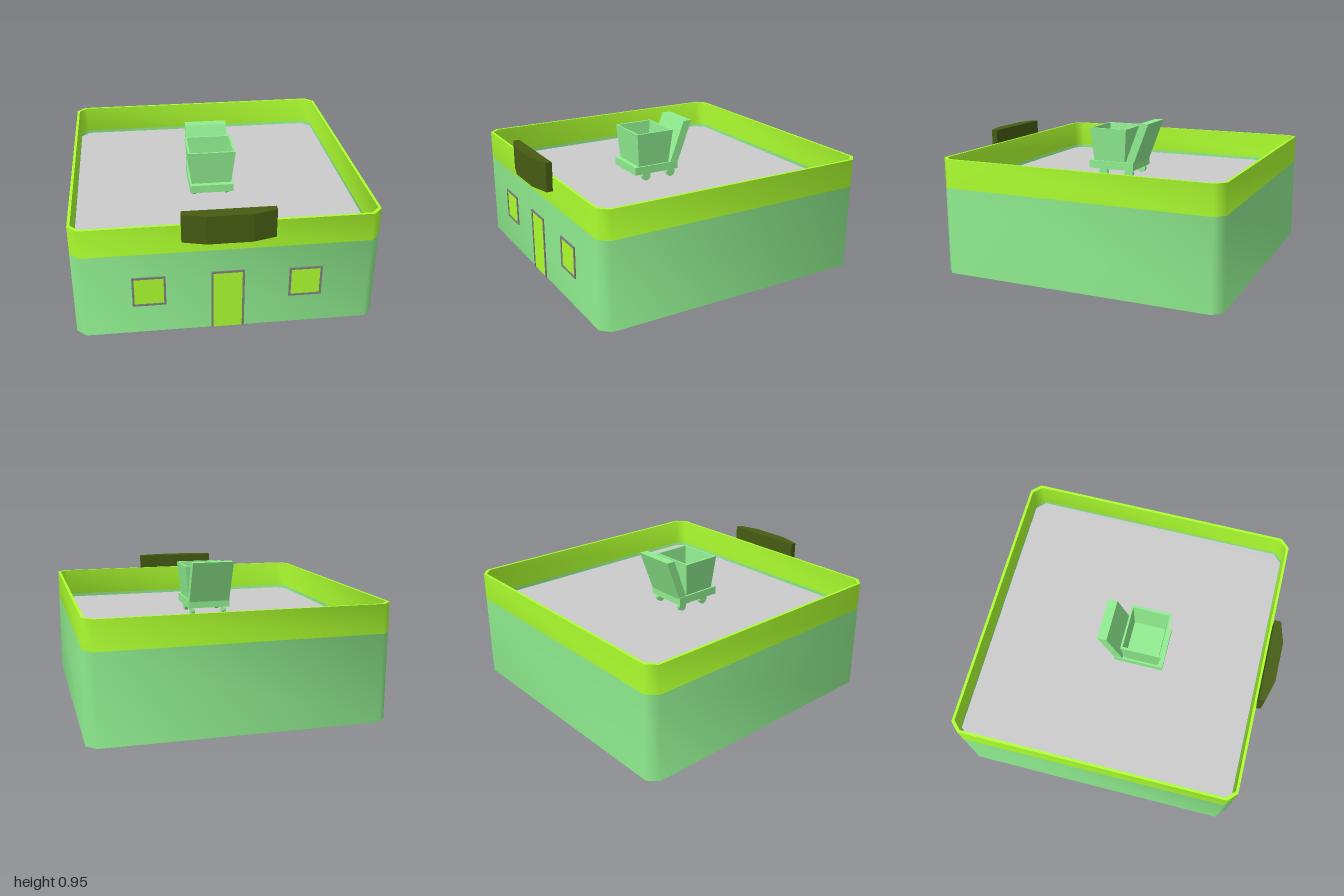
import * as THREE from 'three';
import { toCreasedNormals } from 'three/addons/utils/BufferGeometryUtils.js';

const GREEN = 0x90ee90, LIME = 0xadff2f, OLIVE = 0x465c12, FRAME = 0x808080, ROOF = 0xc0c0c0;

function add(parent, name, geometry, color, flatShading = false) {
  const material = new THREE.MeshStandardMaterial({ color, flatShading });
  const mesh = new THREE.Mesh(geometry, material);
  mesh.name = name;
  parent.add(mesh);
  return mesh;
}

// Box given by its x, y and z ranges
function box(parent, name, color, [x0, x1], [y0, y1], [z0, z1]) {
  const mesh = add(parent, name, new THREE.BoxGeometry(x1 - x0, y1 - y0, z1 - z0), color);
  mesh.position.set((x0 + x1) / 2, (y0 + y1) / 2, (z0 + z1) / 2);
  return mesh;
}

const toPoints = (list) => list.map(([x, y]) => new THREE.Vector2(x, y));

// Square with cut corners, of half-width h
function cutSquare(h, c) {
  const k = h - c;
  return toPoints([[k, -h], [h, -k], [h, k], [k, h], [-k, h], [-h, k], [-h, -k], [-k, -h]]);
}

// Plan outline (x, -z) raised from y0 to y1
function raise(shape, y0, y1) {
  const g = new THREE.ExtrudeGeometry(shape, { depth: y1 - y0, bevelEnabled: false });
  g.rotateX(-Math.PI / 2);
  g.translate(0, y0, 0);
  return g;
}

function wallRing(y0, y1) {
  const shape = new THREE.Shape(cutSquare(0.96, 0.06));
  shape.holes.push(new THREE.Path(cutSquare(0.942, 0.055)));
  return toCreasedNormals(raise(shape, y0, y1), Math.PI / 3);
}

// Frame around an opening in the front wall, with its pane
function opening(parent, name, cx, w, y0, y1, hasSill) {
  const group = new THREE.Group();
  group.name = name;
  const t = 0.013, h = w / 2, z = [0.915, 0.928];
  for (const s of [-1, 1]) {
    const a = cx + s * h, b = cx + s * (h - t);
    box(group, 'frameSide', FRAME, [Math.min(a, b), Math.max(a, b)], [y0, y1], z);
  }
  box(group, 'frameTop', FRAME, [cx - h + t, cx + h - t], [y1 - t, y1], z);
  if (hasSill) box(group, 'frameSill', FRAME, [cx - h + t, cx + h - t], [y0, y0 + t], z);
  box(group, 'pane', LIME, [cx - h + t, cx + h - t], [y0 + (hasSill ? t : 0), y1 - t], [0.897, 0.923]);
  parent.add(group);
}

function buildCart() {
  const cart = new THREE.Group();
  cart.name = 'cart';
  const cx = -0.02;

  box(cart, 'cartBase', GREEN, [cx - 0.148, cx + 0.148], [0.615, 0.67], [-0.09, 0.25]);

  // Flared open basket, a four-sided lathe
  const profile = toPoints([[0, 0.67], [0.136, 0.67], [0.161, 0.905], [0.146, 0.905], [0.128, 0.69], [0, 0.69]]
    .map(([r, y]) => [r * Math.SQRT2, y]));
  const basket = add(cart, 'basket', new THREE.LatheGeometry(profile, 4, Math.PI / 4), GREEN, true);
  basket.scale.z = 0.86;
  basket.position.set(cx, 0, 0.098);

  // Back panel leaning to the rear
  const side = new THREE.Shape(toPoints([[-0.09, 0.66], [-0.028, 0.66], [-0.137, 0.95], [-0.2, 0.95]]));
  const panel = new THREE.ExtrudeGeometry(side, { depth: 0.29, bevelEnabled: false });
  panel.rotateY(-Math.PI / 2);
  panel.translate(cx + 0.145, 0, 0);
  add(cart, 'backPanel', panel, GREEN, true);

  // Wheels
  for (const sx of [-1, 1]) {
    for (const z of [-0.045, 0.15]) {
      const g = new THREE.CylinderGeometry(0.032, 0.032, 0.025, 16);
      g.rotateZ(Math.PI / 2);
      add(cart, 'wheel', g, GREEN).position.set(cx + sx * 0.115, 0.59, z);
    }
  }
  return cart;
}

export function createModel() {
  const model = new THREE.Group();
  model.name = 'shop';

  // Walls, parapet band and roof block
  const shell = new THREE.Group();
  shell.name = 'building';
  shell.position.z = -0.04;
  add(shell, 'walls', wallRing(0, 0.58), GREEN);
  add(shell, 'parapet', wallRing(0.58, 0.77), LIME);
  add(shell, 'roof', raise(new THREE.Shape(cutSquare(0.941, 0.06)), 0.28, 0.558), ROOF, true);
  model.add(shell);

  // Door and windows
  opening(model, 'door', 0, 0.21, 0, 0.425, false);
  for (const x of [-0.493, 0.493]) opening(model, 'window', x, 0.21, 0.205, 0.415, true);

  // Blank sign board with angled ends
  const board = new THREE.Shape(toPoints([
    [-0.287, -0.918], [-0.287, -0.96], [-0.14, -1], [0.14, -1], [0.287, -0.96], [0.287, -0.918]]));
  add(model, 'signBoard', raise(board, 0.675, 0.865), OLIVE, true);

  model.add(buildCart());
  return model;
}
